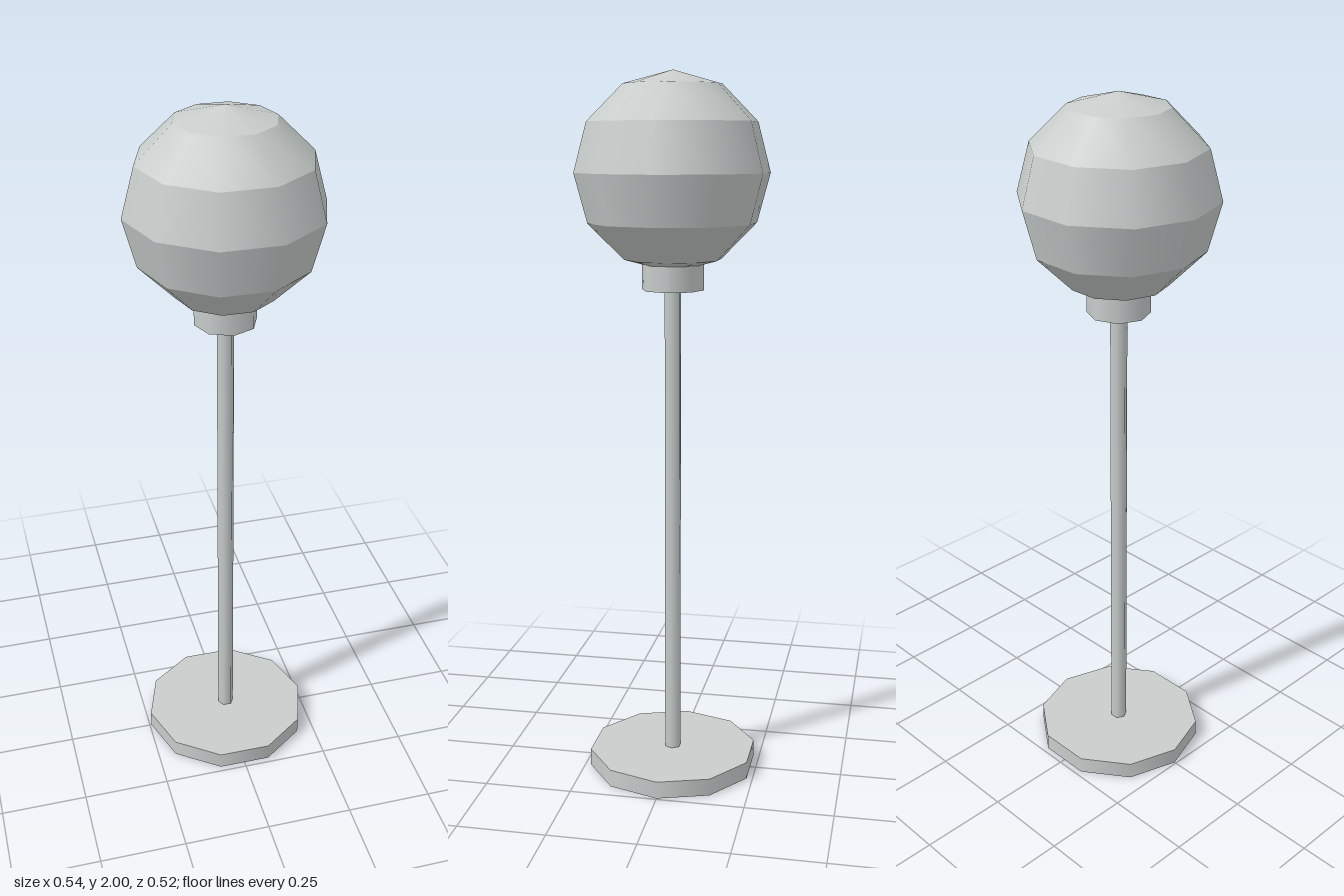
import * as THREE from 'three';

export function createModel() {
  const model = new THREE.Group();
  model.name = 'globeLamp';
  const grey = new THREE.MeshStandardMaterial({ color: 0xc8cdcc });
  grey.name = 'paleGrey';

  // Adds a part turned so that a corner points along +x
  function add(name, geometry, parent = model) {
    const mesh = new THREE.Mesh(geometry.rotateY(Math.PI / 2), grey);
    mesh.name = name;
    parent.add(mesh);
  }

  // Upright prism between two heights, rounded by its normals
  function post(name, radius, bottom, top, sides) {
    const geometry = new THREE.CylinderGeometry(radius, radius, top - bottom, sides);
    add(name, geometry.translate(0, (bottom + top) / 2, 0));
  }

  post('base', 0.245, 0, 0.05, 10);
  post('pole', 0.024, 0.05, 1.42, 6);
  post('collar', 0.087, 1.41, 1.485, 8);

  // Globe: stacked bands, smooth around the axis with crisp edges between bands
  const globe = new THREE.Group();
  globe.name = 'globe';
  model.add(globe);
  const radius = 0.271, centre = 1.729, bands = 6;
  const ring = (i) => {
    const a = (i / bands) * Math.PI;
    return new THREE.Vector2(Math.abs(radius * Math.sin(a)), centre - radius * Math.cos(a));
  };
  for (let i = 0; i < bands; i++) {
    add('globeBand' + (i + 1), new THREE.LatheGeometry([ring(i), ring(i + 1)], 10), globe);
  }

  return model;
}
